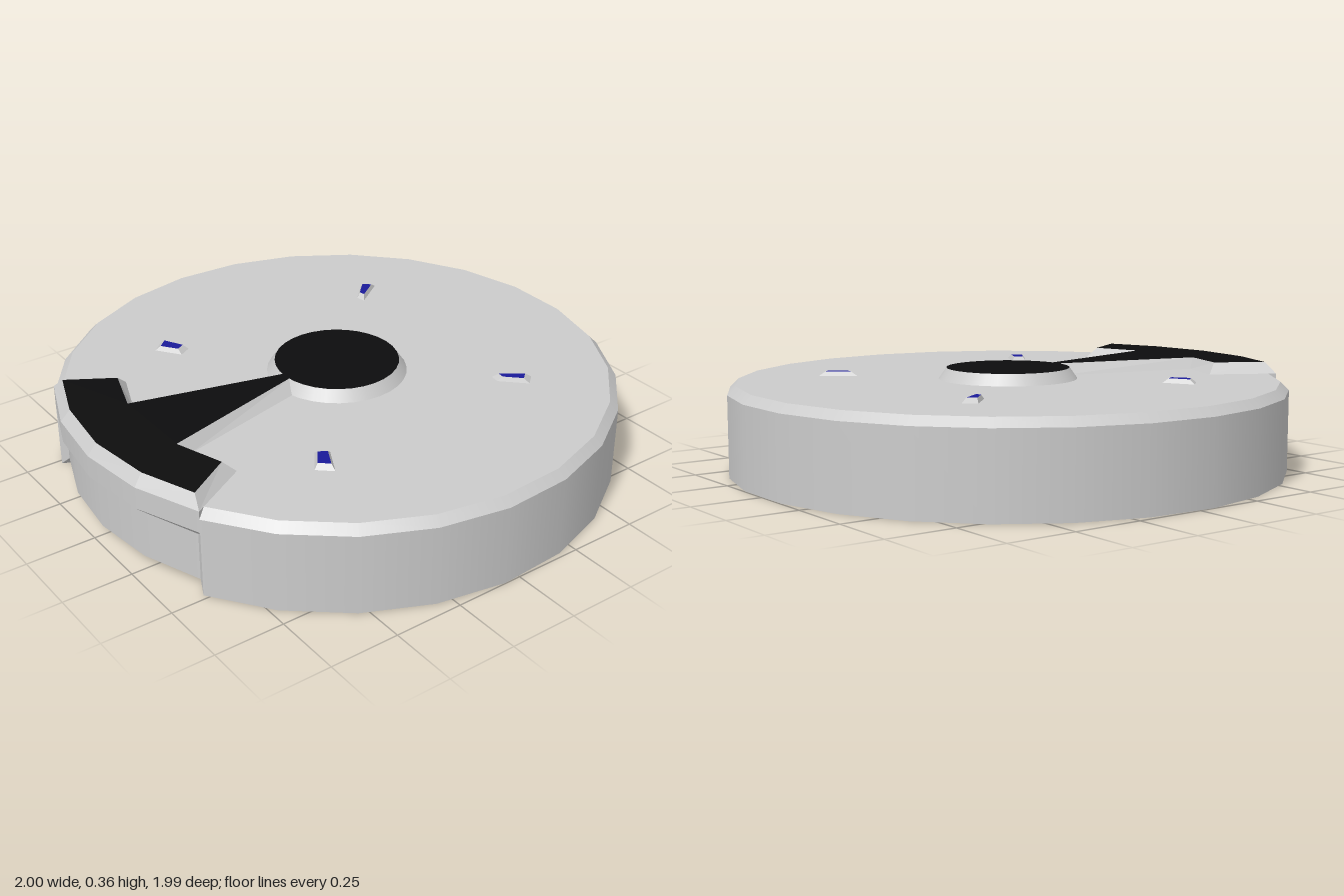
import * as THREE from 'three';
import { mergeGeometries } from 'three/addons/utils/BufferGeometryUtils.js';

const RAD = Math.PI / 180;
const STEP = 14.4;        // the rim has 25 sides
const HALF = 2 * STEP;    // half angle of the front notch
const grey = new THREE.MeshStandardMaterial({ color: 0xcccccc, side: THREE.DoubleSide });
const black = new THREE.MeshStandardMaterial({ color: 0x0d0d0e });
const blue = new THREE.MeshStandardMaterial({ color: 0x1a1a99 });

// Point at radius r, angle a (degrees from the front), height y
const polar = (r, a, y) => [r * Math.sin(a * RAD), y, r * Math.cos(a * RAD)];
const arc = (r, half, y) => [-1, -0.5, 0, 0.5, 1].map((t) => polar(r, t * half, y));

// Revolved profile with a sharp edge at every profile point
function turned(profile, segments, start = 0, length = 360) {
  const bands = [];
  for (let i = 0; i < profile.length - 1; i++) {
    const pair = [profile[i], profile[i + 1]].map(([r, y]) => new THREE.Vector2(r, y));
    bands.push(new THREE.LatheGeometry(pair, segments, start * RAD, length * RAD));
  }
  return mergeGeometries(bands);
}

// Flat-shaded quads between two matching rows of points
function strip(a, b, closed = false) {
  const pos = [];
  const n = a.length;
  for (let i = 0; i < (closed ? n : n - 1); i++) {
    const j = (i + 1) % n;
    pos.push(...a[i], ...a[j], ...b[j], ...a[i], ...b[j], ...b[i]);
  }
  const g = new THREE.BufferGeometry();
  g.setAttribute('position', new THREE.Float32BufferAttribute(pos, 3));
  g.computeVertexNormals();
  return g;
}

// Flat horizontal face from an [x, z] outline
function flatFace(outline, y) {
  const shape = new THREE.Shape(outline.map(([x, z]) => new THREE.Vector2(x, -z)));
  return new THREE.ShapeGeometry(shape).rotateX(-Math.PI / 2).translate(0, y, 0);
}

const mirrored = (pts) => pts.map(([x, z]) => [-x, z]).reverse();

export function createModel() {
  const model = new THREE.Group();
  const add = (parent, name, geometry, material = grey) => {
    const mesh = new THREE.Mesh(geometry, material);
    mesh.name = name;
    parent.add(mesh);
  };
  const group = (name) => {
    const g = new THREE.Group();
    g.name = name;
    model.add(g);
    return g;
  };

  // Bevelled disc, open at the front notch
  const disc = group('disc');
  add(disc, 'discSide', turned([[0, 0], [1, 0], [1, 0.29], [0.97, 0.32]], 21, HALF, 360 - 2 * HALF));
  add(disc, 'discTop', turned([[0.97, 0.32], [0, 0.32]], 25));
  add(disc, 'bottomCentre', turned([[0, 0], [0.25, 0]], 4, -HALF, 2 * HALF));
  add(disc, 'frontRim', turned([[1, 0.24], [1, 0.32]], 4, -HALF, 2 * HALF));
  for (const s of [-1, 1]) {
    const a = s * HALF;
    const end = [polar(1, a, 0.29), polar(1, a, 0.32)];
    const tip = polar(0.97, a, 0.32);
    add(disc, 'rimEnd', strip(s > 0 ? end : end.reverse(), [tip, tip]));
  }

  // Notch in the front, running under the disc as a shallow sector
  const notch = group('frontNotch');
  const IN = 27.3;
  const outer = [polar(1, -HALF, 0), ...arc(0.25, HALF, 0), polar(1, HALF, 0), ...arc(1, HALF, 0.24).reverse()];
  const inner = [polar(0.97, -IN, 0.035), ...arc(0.27, 22, 0.035), polar(0.97, IN, 0.035), ...arc(0.97, IN, 0.21).reverse()];
  add(notch, 'notchBevel', strip(outer, inner, true));
  add(notch, 'notchCeiling', strip(arc(0.27, 22, 0.035), arc(0.97, IN, 0.035)));
  add(notch, 'notchWall', turned([[0.97, 0.035], [0.97, 0.21]], 4, -IN, 2 * IN));

  // Raised bevelled shape with a coloured top
  const raised = (name, low, high, y0, y1, material) => {
    const g = group(name);
    const lift = (pts, y) => pts.map(([x, z]) => [x, y, z]);
    add(g, name + 'Bevel', strip(lift(low, y0), lift(high, y1), true));
    add(g, name + 'Top', flatFace(high, y1), material);
  };

  // Pointer: narrow stem widening to a block at the rim
  const low = [[0.249, 0.969], [0.482, 0.876], [0.358, 0.658], [0.182, 0.727], [0.055, 0.2]];
  const high = [[0.24, 0.937], [0.437, 0.862], [0.337, 0.7], [0.16, 0.76], [0.015, 0.2]];
  raised('pointer', [[0, 1], ...low, ...mirrored(low)], [[0, 0.967], ...high, ...mirrored(high)], 0.32, 0.36, black);

  // Round hub in the middle
  const hub = group('hub');
  add(hub, 'hubBevel', turned([[0.25, 0.32], [0.222, 0.36]], 32));
  add(hub, 'hubTop', turned([[0.222, 0.36], [0, 0.36]], 32), black);

  // Four small lights, mirrored left and right
  const lights = [
    [[0.49, -0.48], [0.455, -0.52], [0.375, -0.405], [0.41, -0.4]],
    [[0.545, 0.405], [0.44, 0.35], [0.415, 0.395], [0.5, 0.455]],
  ];
  for (const right of lights) {
    for (const base of [right, mirrored(right)]) {
      const mid = [0, 1].map((k) => base.reduce((sum, p) => sum + p[k], 0) / 4);
      const top = base.map((p) => p.map((v, k) => mid[k] + (v - mid[k]) * 0.66));
      raised('light', base, top, 0.32, 0.336, blue);
    }
  }

  // Centre the odd-sided rim front to back
  model.children.forEach((part) => { part.position.z = -0.004; });
  return model;
}
